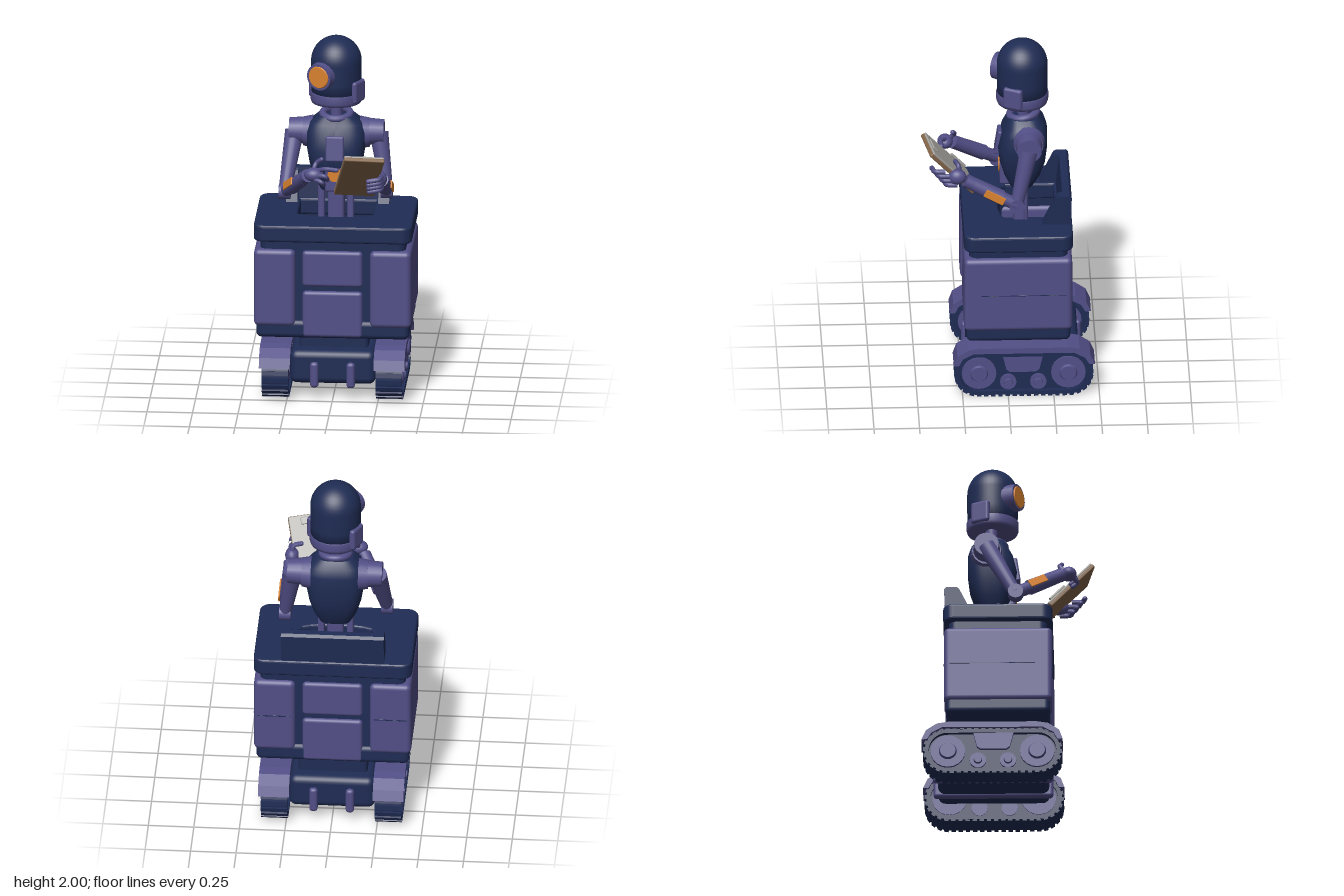
import * as THREE from 'three';
import { RoundedBoxGeometry } from 'three/addons/geometries/RoundedBoxGeometry.js';

const mat = (name, color) => Object.assign(new THREE.MeshStandardMaterial({ color }), { name });
const V = (x, y, z) => new THREE.Vector3(x, y, z);

export function createModel() {
  const navy = mat('navy', 0x1f2c54), violet = mat('violet', 0x524f87), orange = mat('orange', 0xd9822f);
  const tan = mat('tan', 0x84664a), grey = mat('grey', 0xa6a4a0);
  const model = new THREE.Group();
  model.name = 'trackedRobot';

  const add = (name, geo, material, parent = model) => {
    const m = new THREE.Mesh(geo, material);
    m.name = name;
    parent.add(m);
    return m;
  };
  // Rounded box given by its extents
  const box = (name, material, x0, x1, y0, y1, z0, z1, r = 0.02, parent = model) => {
    const m = add(name, new RoundedBoxGeometry(x1 - x0, y1 - y0, z1 - z0, 3, r), material, parent);
    m.position.set((x0 + x1) / 2, (y0 + y1) / 2, (z0 + z1) / 2);
    return m;
  };
  // Tapered round bar between two points
  const bar = (name, material, a, b, ra, rb, parent = model) => {
    const d = b.clone().sub(a);
    const m = add(name, new THREE.CylinderGeometry(rb, ra, d.length(), 20), material, parent);
    m.position.copy(a).addScaledVector(d, 0.5);
    m.quaternion.setFromUnitVectors(V(0, 1, 0), d.normalize());
    return m;
  };
  const ball = (name, material, p, r, parent = model) => {
    const m = add(name, new THREE.SphereGeometry(r, 20, 14), material, parent);
    m.position.copy(p);
    return m;
  };
  // Side profile (z, y) extruded from x0 to x1
  const side = (name, material, shape, x0, x1) => {
    const geo = new THREE.ExtrudeGeometry(shape, { depth: x1 - x0, bevelEnabled: false, curveSegments: 20 });
    geo.rotateY(-Math.PI / 2).translate(x1, 0, 0);
    return add(name, geo, material);
  };
  const poly = (pts) => new THREE.Shape(pts.map(([a, b]) => new THREE.Vector2(a, b)));
  const stadium = (Type, r) => {
    const s = new Type();
    s.absarc(0.16, 0.14, r, -Math.PI / 2, Math.PI / 2, false);
    s.absarc(-0.33, 0.14, r, Math.PI / 2, Math.PI * 1.5, false);
    s.closePath();
    return s;
  };

  // Tracks, wheels and fenders
  const fender = poly([[0.3, 0.2], [0.28, 0.255], [0.22, 0.295], [0.16, 0.305], [-0.33, 0.305], [-0.39, 0.295], [-0.45, 0.255],
    [-0.475, 0.2], [-0.445, 0.2], [-0.42, 0.24], [-0.36, 0.272], [0.19, 0.272], [0.25, 0.24], [0.27, 0.2]]);
  const belt = stadium(THREE.Shape, 0.127);
  belt.holes.push(stadium(THREE.Path, 0.105));
  const span = (s, a, b) => (s > 0 ? [a, b] : [-b, -a]);
  for (const s of [1, -1]) {
    side('trackBelt', navy, belt, ...span(s, 0.24, 0.385));
    side('trackHull', navy, stadium(THREE.Shape, 0.106), ...span(s, 0.255, 0.36));
    side('fender', violet, fender, ...span(s, 0.23, 0.4));
    side('trackBracket', violet, poly([[0.03, 0.245], [0.01, 0.165], [-0.01, 0.15], [-0.15, 0.15], [-0.17, 0.165], [-0.19, 0.245]]),
      ...span(s, 0.35, 0.382));
    for (const [z, y, r] of [[0.16, 0.14, 0.095], [-0.33, 0.14, 0.095], [0, 0.085, 0.045], [-0.165, 0.085, 0.045]]) {
      bar('wheel', violet, V(s * 0.25, y, z), V(s * 0.375, y, z), r, r);
      bar('wheelHub', violet, V(s * 0.37, y, z), V(s * 0.388, y, z), r * 0.55, r * 0.45);
    }
    stadium(THREE.Path, 0.13).getSpacedPoints(46).slice(1).forEach((p) => {
      const c = add('trackCleat', new THREE.BoxGeometry(0.145, 0.014, 0.024), navy);
      c.position.set(s * 0.313, p.y, p.x);
      const cz = THREE.MathUtils.clamp(p.x, -0.33, 0.16);
      c.rotation.x = Math.atan2(p.x - cz, p.y - 0.14);
    });
  }

  // Chassis with wrap-around ribs, and pedestal
  box('chassis', navy, -0.235, 0.235, 0.09, 0.28, -0.39, 0.22, 0.04);
  for (const x of [-0.1, 0.1]) box('chassisRib', violet, x - 0.023, x + 0.023, 0.075, 0.22, -0.415, 0.242, 0.018);
  box('pedestal', navy, -0.19, 0.19, 0.25, 0.38, -0.31, 0.13, 0.02);

  // Body core and its panels
  box('bodySkirt', navy, -0.42, 0.42, 0.355, 0.46, -0.34, 0.23, 0.03);
  box('bodyCore', navy, -0.4, 0.4, 0.38, 0.8, -0.325, 0.215, 0.03);
  for (const s of [1, -1]) {
    box('sidePanel', violet, ...span(s, 0.205, 0.432), 0.425, 0.865, -0.35, 0.243, 0.028);
    box('sideSeam', navy, ...span(s, 0.428, 0.434), 0.643, 0.647, -0.32, 0.15, 0.001);
    box('rearSeam', navy, ...span(s, 0.23, 0.41), 0.643, 0.649, -0.352, -0.345, 0.001);
  }
  for (const [z0, z1] of [[0.19, 0.236], [-0.345, -0.3]]) {
    box('upperPanel', violet, -0.165, 0.165, 0.655, 0.86, z0, z1, 0.02);
    box('lowerPanel', violet, -0.165, 0.165, 0.365, 0.628, z0, z1, 0.02);
  }

  // Open cockpit: neck ring and top rim around the same hole
  const ring = (name, w, zb, zf, y0, y1, bevel) => {
    const r = 0.045, s = new THREE.Shape();
    w -= bevel; zb += bevel; zf -= bevel;
    s.absarc(w - r, -zf + r, r, -Math.PI / 2, 0);
    s.absarc(w - r, -zb - r, r, 0, Math.PI / 2);
    s.absarc(-w + r, -zb - r, r, Math.PI / 2, Math.PI);
    s.absarc(-w + r, -zf + r, r, Math.PI, Math.PI * 1.5);
    const h = new THREE.Path();
    h.moveTo(-0.22, 0.28).lineTo(0.22, 0.28).lineTo(0.22, 0).bezierCurveTo(0.2, -0.08, -0.2, -0.08, -0.22, 0);
    s.holes.push(h);
    const geo = new THREE.ExtrudeGeometry(s, { depth: y1 - y0 - 2 * bevel, bevelEnabled: bevel > 0, bevelSize: bevel,
      bevelThickness: bevel, bevelSegments: 3, curveSegments: 8 });
    add(name, geo.rotateX(-Math.PI / 2).translate(0, y0 + bevel, 0), navy);
  };
  ring('cockpitWall', 0.4, -0.325, 0.215, 0.76, 0.93, 0);
  ring('cockpitRim', 0.435, -0.355, 0.243, 0.91, 1.005, 0.014);

  // Backrest with sloping wings
  const wing = poly([[-0.345, 0.99], [-0.352, 1.16], [-0.34, 1.175], [-0.285, 1.175], [-0.27, 1.165], [-0.19, 1.0], [-0.19, 0.99]]);
  for (const s of [1, -1]) side('backrestWing', navy, wing, ...span(s, 0.222, 0.283));
  side('backrest', navy, poly([[-0.345, 0.99], [-0.352, 1.16], [-0.34, 1.175], [-0.3, 1.175], [-0.28, 0.99]]), -0.225, 0.225);

  // Waist
  box('spine', violet, -0.045, 0.045, 0.79, 1.2, -0.12, -0.04, 0.015);
  for (const x of [-0.08, 0.08]) box('waistStrut', violet, x - 0.018, x + 0.018, 0.79, 1.18, -0.1, -0.045, 0.01);

  // Torso: cylinder reshaped by sections of [y, half width, front z, back z]
  const sections = [[1.13, 0.085, -0.02, -0.15], [1.2, 0.12, 0.012, -0.19], [1.28, 0.145, 0.036, -0.215], [1.37, 0.16, 0.046, -0.226],
    [1.46, 0.165, 0.025, -0.226], [1.51, 0.145, 0, -0.21], [1.55, 0.1, -0.015, -0.18]];
  const torso = new THREE.CylinderGeometry(1, 1, 1, 40, sections.length - 1);
  const p = torso.attributes.position, sq = (v) => Math.sign(v) * Math.abs(v) ** 0.65;
  for (let i = 0; i < p.count; i++) {
    const [y, w, f, b] = sections[Math.round((p.getY(i) + 0.5) * (sections.length - 1))];
    p.setXYZ(i, sq(p.getX(i)) * w, y, (f + b) / 2 + sq(p.getZ(i)) * (f - b) / 2);
  }
  torso.computeVertexNormals();
  add('torso', torso, navy);
  const chest = box('chestPlate', violet, -0.05, 0.05, 1.32, 1.46, 0.02, 0.055, 0.01);
  chest.rotation.x = -0.15;
  box('bellyPlate', violet, -0.055, 0.055, 1.14, 1.3, -0.02, 0.035, 0.012);
  bar('bellyLight', orange, V(0, 1.24, 0.03), V(0, 1.24, 0.042), 0.04, 0.04);
  const collar = add('collar', new THREE.TorusGeometry(0.075, 0.02, 12, 32), violet);
  collar.position.set(0, 1.555, -0.095);
  collar.rotation.x = Math.PI / 2 + 0.15;
  bar('neck', violet, V(0, 1.52, -0.095), V(0, 1.66, -0.095), 0.032, 0.032);

  // Head, turned toward its right
  const head = new THREE.Group();
  head.name = 'head';
  head.position.set(0, 0, -0.09);
  head.rotation.y = -0.46;
  model.add(head);
  const dome = [[0, 1.65], [0.136, 1.65], [0.139, 1.75], [0.139, 1.86]];
  for (let i = 1; i <= 10; i++) dome.push([0.139 * Math.cos(i * Math.PI / 20), 1.86 + 0.14 * Math.sin(i * Math.PI / 20)]);
  add('headDome', new THREE.LatheGeometry(dome.map(([x, y]) => new THREE.Vector2(Math.max(x, 0), y)), 40), navy, head);
  add('jawBand', new THREE.LatheGeometry([[0, 1.64], [0.1, 1.64], [0.115, 1.622], [0.137, 1.628], [0.143, 1.645], [0.143, 1.685],
    [0.136, 1.69]].map(([x, y]) => new THREE.Vector2(x, y)), 40), violet, head);
  for (const s of [1, -1]) box('ear', violet, ...span(s, 0.11, 0.152), 1.64, 1.765, -0.06, 0.05, 0.016, head);
  bar('eyeRim', violet, V(-0.015, 1.805, 0.1), V(-0.015, 1.805, 0.168), 0.082, 0.074, head);
  bar('eyeLens', orange, V(-0.015, 1.805, 0.165), V(-0.015, 1.805, 0.174), 0.064, 0.058, head);

  // Arms
  const arm = (name, s, elbow, wrist) => {
    const g = new THREE.Group();
    g.name = name;
    model.add(g);
    bar('armSocket', violet, V(s * 0.13, 1.44, -0.12), V(s * 0.182, 1.44, -0.12), 0.09, 0.08, g);
    bar('shoulder', violet, V(s * 0.17, 1.445, -0.12), V(s * 0.26, 1.445, -0.12), 0.075, 0.068, g);
    bar('upperArm', violet, V(s * 0.232, 1.44, -0.12), elbow, 0.052, 0.034, g);
    bar('elbow', violet, elbow.clone().setX(elbow.x - 0.032), elbow.clone().setX(elbow.x + 0.032), 0.042, 0.042, g);
    bar('forearm', violet, elbow, wrist, 0.034, 0.038, g);
    bar('cuff', violet, elbow.clone().lerp(wrist, 0.3), elbow.clone().lerp(wrist, 0.85), 0.042, 0.038, g);
    // Lit plate on the outer side of the forearm
    const dir = wrist.clone().sub(elbow).normalize();
    const out = V(s, 0, 0).addScaledVector(dir, -s * dir.x).normalize();
    const plate = add('forearmLight', new RoundedBoxGeometry(0.045, 0.12, 0.008, 2, 0.003), orange, g);
    plate.quaternion.setFromRotationMatrix(new THREE.Matrix4().makeBasis(dir.clone().cross(out), dir, out));
    plate.position.copy(elbow).lerp(wrist, 0.43).addScaledVector(out, 0.042);
    return g;
  };
  const finger = (g, pts, r = 0.013) => {
    const v = pts.map((q) => V(...q));
    add('finger', new THREE.TubeGeometry(new THREE.CatmullRomCurve3(v), 8, r, 8), violet, g);
    ball('fingertip', violet, v[v.length - 1], r, g);
  };
  const right = arm('rightArm', -1, V(-0.275, 1.14, 0.04), V(-0.13, 1.315, 0.29));
  const palm = ball('palm', violet, V(-0.095, 1.335, 0.33), 0.045, right);
  palm.scale.set(1.2, 0.85, 0.95);
  finger(right, [[-0.07, 1.36, 0.33], [-0.03, 1.375, 0.355], [0.03, 1.37, 0.355]]);
  finger(right, [[-0.08, 1.335, 0.35], [-0.03, 1.335, 0.365], [-0.02, 1.31, 0.34]]);
  finger(right, [[-0.09, 1.315, 0.355], [-0.05, 1.305, 0.375], [-0.04, 1.285, 0.35]]);
  finger(right, [[-0.1, 1.35, 0.31], [-0.085, 1.385, 0.28], [-0.055, 1.41, 0.29]]);
  const left = arm('leftArm', 1, V(0.28, 1.13, -0.05), V(0.27, 1.28, 0.23));
  const hold = ball('palm', violet, V(0.265, 1.3, 0.275), 0.045, left);
  hold.scale.set(0.85, 1, 1.1);
  for (let i = 0; i < 4; i++) {
    const y = 1.255 + i * 0.027, z = 0.285 + i * 0.022;
    finger(left, [[0.275, y, z - 0.01], [0.27, y, z + 0.045], [0.21, y - 0.008, z + 0.062]], 0.014);
  }
  finger(left, [[0.265, 1.32, 0.26], [0.255, 1.365, 0.27], [0.215, 1.37, 0.285]]);

  // Tablet: tan back toward the front, grey face toward the head
  const tablet = new THREE.Group();
  tablet.name = 'tablet';
  const up = V(0.077, 0.285, 0.245).normalize(), n = V(0.22, -0.02, -0.045).cross(up).normalize();
  tablet.quaternion.setFromRotationMatrix(new THREE.Matrix4().makeBasis(up.clone().cross(n), up, n));
  tablet.position.set(0.153, 1.328, 0.32);
  model.add(tablet);
  box('tabletBack', tan, -0.112, 0.112, -0.185, 0.185, -0.008, 0.016, 0.007, tablet);
  box('tabletFace', grey, -0.11, 0.11, -0.183, 0.182, -0.018, -0.005, 0.005, tablet);
  box('tabletClip', grey, -0.045, 0.045, 0.13, 0.17, -0.026, -0.014, 0.004, tablet);
  bar('stylus', grey, V(-0.095, -0.15, -0.024), V(-0.095, -0.03, -0.024), 0.009, 0.009, tablet);
  return model;
}
